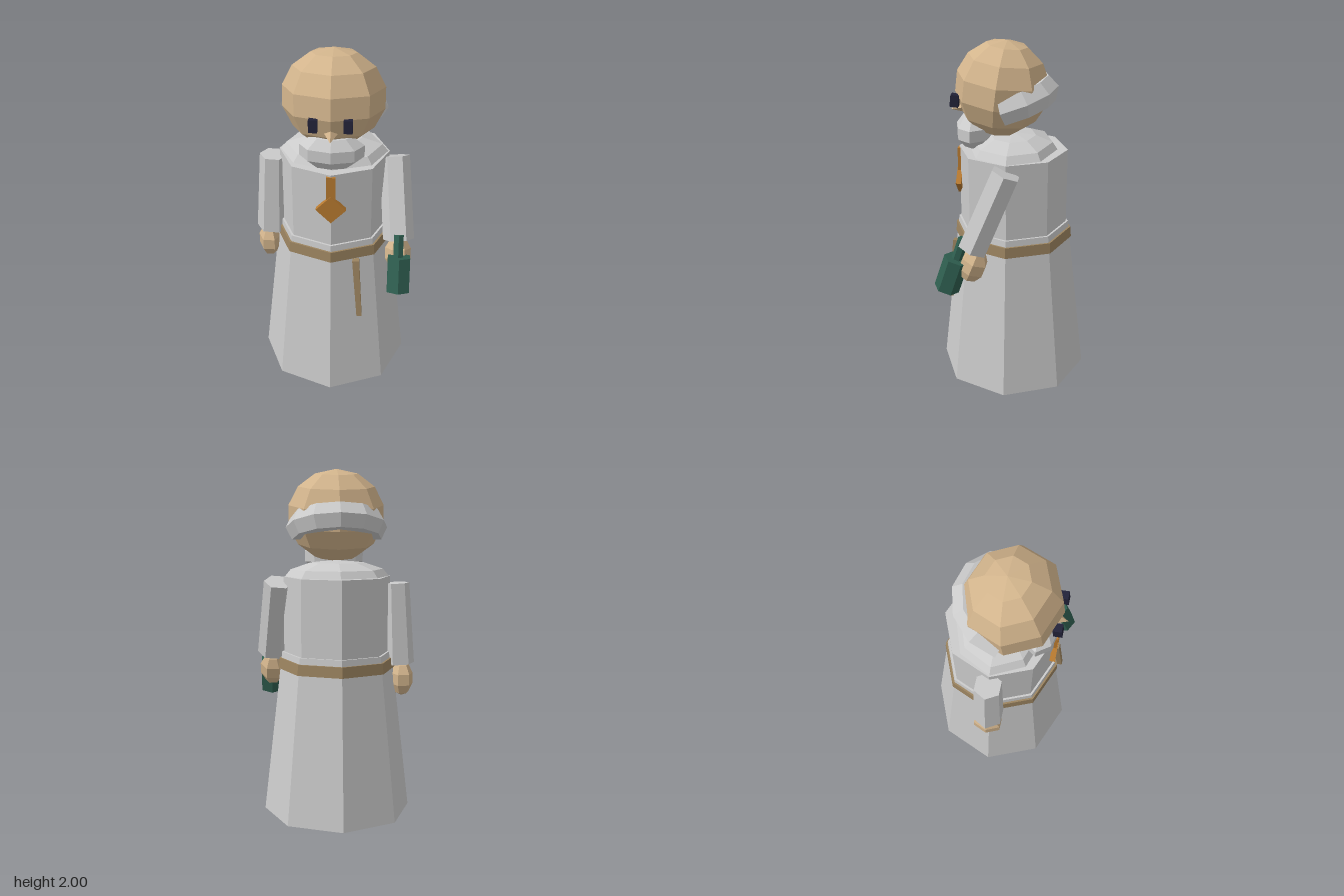
import * as THREE from 'three';
import { mergeGeometries } from 'three/addons/utils/BufferGeometryUtils.js';

const mat = (color) => new THREE.MeshStandardMaterial({ color, flatShading: true });

export function createModel() {
  const model = new THREE.Group();
  const grey = mat(0xcccccc), skin = mat(0xd2b48c), leather = mat(0x9c8460);
  const gold = mat(0xb87a30), dark = mat(0x222238), glass = mat(0x2f5f50), shoe = mat(0x83755c);

  const add = (name, geometry, material, [x, y, z], parent = model) => {
    const mesh = new THREE.Mesh(geometry, material);
    mesh.name = name;
    mesh.position.set(x, y, z);
    parent.add(mesh);
    return mesh;
  };
  const ball = (rx, ry, rz, w, h) => new THREE.SphereGeometry(1, w, h).scale(rx, ry, rz);
  const ring = (name, rTop, rBottom, y0, y1, material) =>
    add(name, new THREE.CylinderGeometry(rTop, rBottom, y1 - y0, 8), material, [0, (y0 + y1) / 2, 0]);
  // Tapered prism running from point a (top) to point b (bottom)
  const limb = (name, a, b, rA, rB, sides, turn, material) => {
    const top = new THREE.Vector3(...a), bottom = new THREE.Vector3(...b);
    const dir = top.clone().sub(bottom);
    const geometry = new THREE.CylinderGeometry(rA, rB, dir.length(), sides).rotateY(turn);
    const mesh = add(name, geometry, material, top.clone().add(bottom).multiplyScalar(0.5).toArray());
    mesh.quaternion.setFromUnitVectors(new THREE.Vector3(0, 1, 0), dir.normalize());
    return mesh;
  };

  // Robe, belt and collar
  ring('skirt', 0.312, 0.42, 0.06, 0.985, grey);
  ring('belt', 0.327, 0.332, 0.89, 0.95, leather);
  ring('torso', 0.3, 0.3, 0.95, 1.41, grey);
  add('collar', ball(0.3, 0.1, 0.25, 8, 6), grey, [0, 1.4, 0]);

  // Feet and eyes, mirrored
  for (const side of [-1, 1]) {
    const label = side > 0 ? 'left' : 'right';
    add(label + 'Foot', new THREE.BoxGeometry(0.185, 0.1, 0.3), shoe, [side * 0.133, 0.05, 0.05]);
    add(label + 'Eye', new THREE.BoxGeometry(0.045, 0.065, 0.045), dark, [side * 0.088, 1.69, 0.3])
      .rotation.x = -0.12;
  }

  // Head, tipped slightly back
  add('head', ball(0.275, 0.257, 0.257, 8, 7), skin, [0, 1.745, 0.06]).rotation.x = -0.12;
  add('nose', new THREE.ConeGeometry(0.04, 0.08, 4), skin, [0, 1.626, 0.302]).rotation.x = Math.PI / 2 + 0.3;
  add('beard', ball(0.178, 0.102, 0.105, 8, 5), grey, [0, 1.512, 0.21]);

  // Hair band around the back of the head, with closed ends
  const R = 0.215, tube = 0.07;
  const cap = (x) => new THREE.CircleGeometry(tube, 6).rotateX(Math.PI / 2).translate(x, 0, 0);
  const hair = mergeGeometries([new THREE.TorusGeometry(R, tube, 6, 6, Math.PI), cap(R), cap(-R)]);
  add('hair', hair.scale(1, 1, 1.15), grey, [0, 1.68, 0.03]).rotation.x = -Math.PI / 2 + 0.3;

  // Arms and hands
  limb('rightArm', [-0.335, 1.37, 0], [-0.355, 0.91, 0], 0.076, 0.09, 6, Math.PI / 6, grey);
  limb('leftArm', [0.328, 1.38, -0.005], [0.365, 0.955, 0.17], 0.082, 0.086, 6, Math.PI / 6, grey);
  add('rightHand', ball(0.068, 0.1, 0.09, 6, 5), skin, [-0.373, 0.82, 0]);
  add('leftHand', ball(0.075, 0.1, 0.08, 6, 5), skin, [0.365, 0.86, 0.17]).rotation.x = -0.37;

  // Pendant on a strap
  add('pendantStrap', new THREE.BoxGeometry(0.048, 0.13, 0.03), gold, [0, 1.335, 0.292]);
  add('pendant', new THREE.BoxGeometry(0.113, 0.113, 0.03), gold, [0, 1.21, 0.297]).rotation.z = Math.PI / 4;

  // Stick hanging from the belt
  limb('stick', [0.135, 0.895, 0.302], [0.16, 0.548, 0.342], 0.026, 0.02, 4, Math.PI / 4, leather);

  // Bottle held in the left hand
  const bottle = new THREE.Group();
  bottle.name = 'bottle';
  bottle.position.set(0.37, 0.71, 0.318);
  bottle.rotation.x = -0.32;
  model.add(bottle);
  add('bottleBody', new THREE.CylinderGeometry(0.07, 0.07, 0.195, 6), glass, [0, 0.0975, 0], bottle);
  add('bottleNeck', new THREE.CylinderGeometry(0.03, 0.03, 0.13, 6), glass, [-0.005, 0.255, 0], bottle);

  return model;
}
